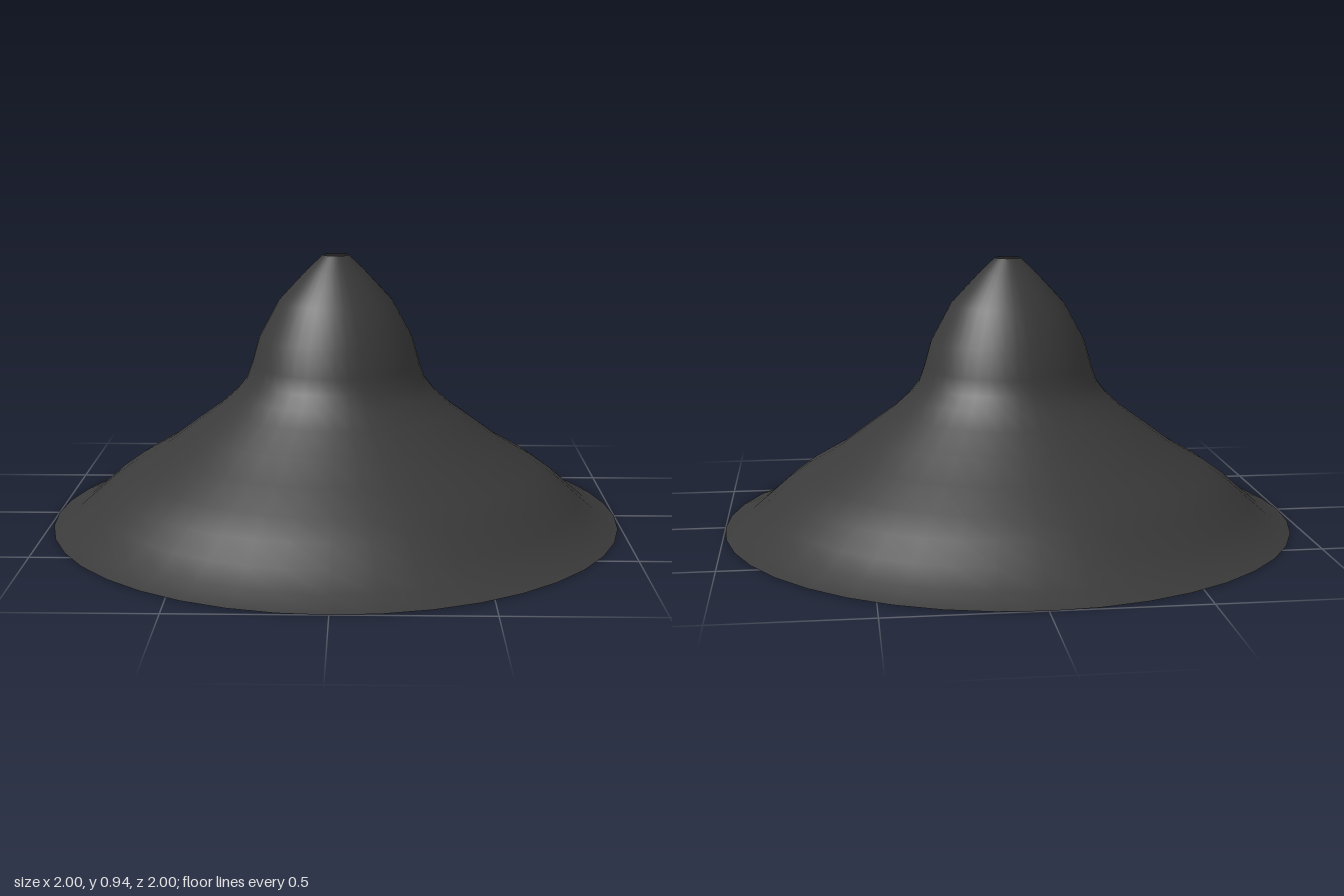
import * as THREE from 'three';
import { mergeVertices } from 'three/addons/utils/BufferGeometryUtils.js';

export function createModel() {
  const model = new THREE.Group();
  model.name = 'wideBrimHat';

  // Outline from the rim up to the small opening in the crown
  const profile = [
    [1, 0], [0.92, 0.03], [0.85, 0.085], [0.78, 0.145], [0.71, 0.2],
    [0.6, 0.265], [0.5, 0.34], [0.41, 0.405], [0.35, 0.46], [0.315, 0.505],
    [0.295, 0.56], [0.27, 0.65], [0.2, 0.78], [0.1, 0.888], [0.045, 0.94],
  ].map(([r, y]) => new THREE.Vector2(r, y));

  let shell = new THREE.LatheGeometry(profile, 40);

  // The brim bulges very slightly toward its left and right sides
  const p = shell.attributes.position;
  for (let i = 0; i < p.count; i++) {
    const x = p.getX(i), y = p.getY(i), z = p.getZ(i);
    const r = Math.hypot(x, z);
    const band = y > 0.05 && y < 0.22 ? Math.sin(((y - 0.05) / 0.17) * Math.PI) : 0;
    const k = 1 + 0.013 * band * (x * x - z * z) / (r * r);
    p.setXYZ(i, x * k, y, z * k);
  }

  // Weld the seam so that shading stays smooth all round
  shell.deleteAttribute('uv');
  shell.deleteAttribute('normal');
  shell = mergeVertices(shell, 1e-4);
  shell.computeVertexNormals();

  const hat = new THREE.Mesh(shell, new THREE.MeshStandardMaterial({
    color: 0x3a3a3a, side: THREE.DoubleSide,
  }));
  hat.name = 'crownAndBrim';
  model.add(hat);
  return model;
}
